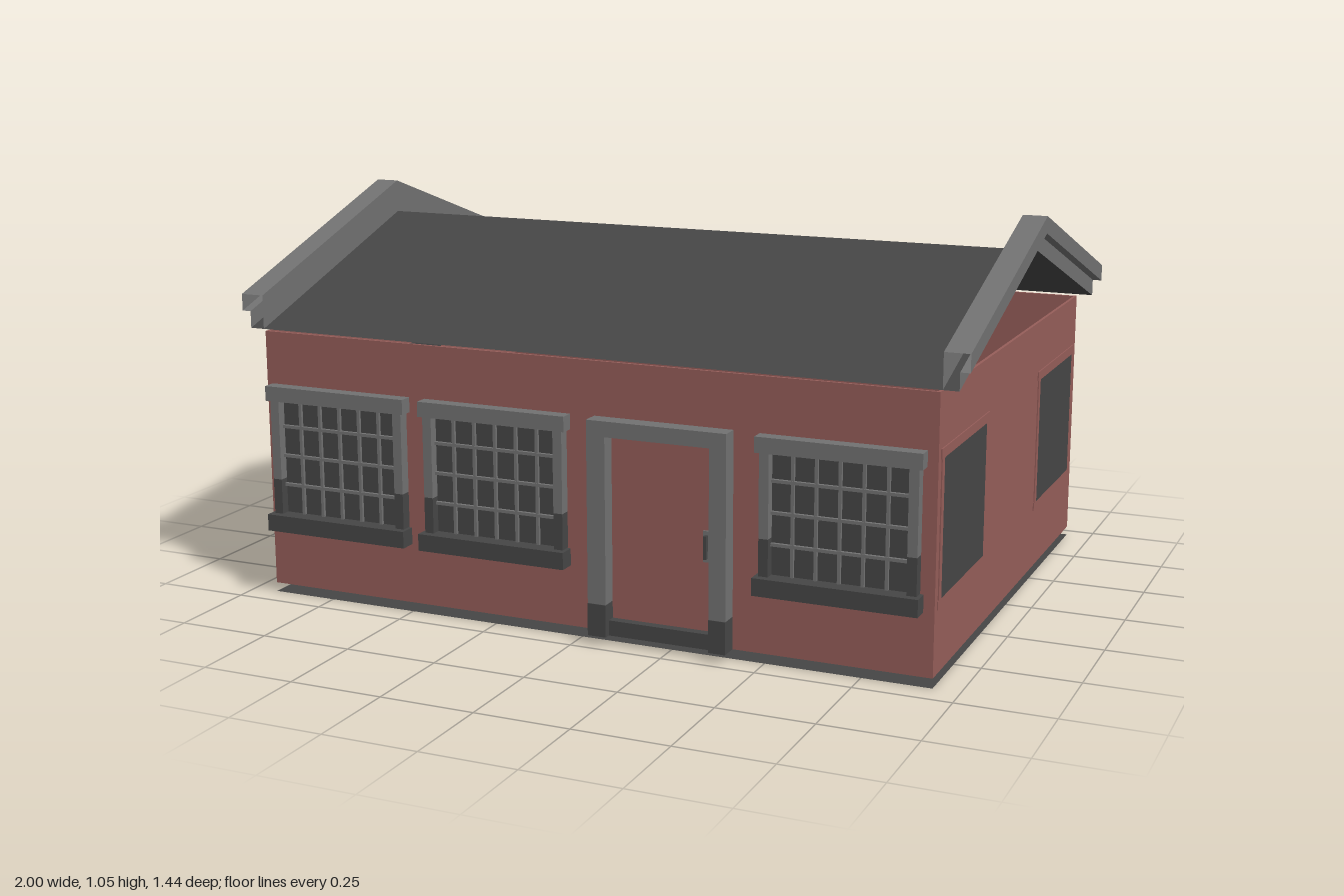
import * as THREE from 'three';

const brick = new THREE.MeshStandardMaterial({ color: 0x965e5a, side: THREE.DoubleSide });
brick.name = 'brick red';
const stone = new THREE.MeshStandardMaterial({ color: 0x727272, side: THREE.DoubleSide });
stone.name = 'stone grey';
const slate = new THREE.MeshStandardMaterial({ color: 0x464646, side: THREE.DoubleSide });
slate.name = 'dark slate';

const FRONT = 0.68, BACK = -0.71, SIDE = 0.93, RIDGE = -0.015;
const BASE = 0.025, TOP = 0.725;

// Box given by its minimum and maximum corners
function box(parent, name, mat, x0, x1, y0, y1, z0, z1) {
  const mesh = new THREE.Mesh(new THREE.BoxGeometry(x1 - x0, y1 - y0, z1 - z0), mat);
  mesh.position.set((x0 + x1) / 2, (y0 + y1) / 2, (z0 + z1) / 2);
  mesh.name = name;
  parent.add(mesh);
  return mesh;
}

// Sweep an open [x, y] section over the two roof slopes
function gableSweep(section, mat, name) {
  const stations = [[FRONT, 0.73], [RIDGE, 0.96], [BACK, 0.73]];
  const pos = [];
  const point = (s, p) => [p[0], s[1] + p[1], s[0]];
  for (let i = 0; i < 2; i++) {
    for (let j = 0; j < section.length - 1; j++) {
      const a = point(stations[i], section[j]), b = point(stations[i], section[j + 1]);
      const c = point(stations[i + 1], section[j + 1]), d = point(stations[i + 1], section[j]);
      pos.push(...a, ...b, ...c, ...a, ...c, ...d);
    }
  }
  const geo = new THREE.BufferGeometry();
  geo.setAttribute('position', new THREE.Float32BufferAttribute(pos, 3));
  geo.computeVertexNormals();
  const mesh = new THREE.Mesh(geo, mat);
  mesh.name = name;
  return mesh;
}

// Paned window with head, jambs and sill
function frontWindow(x) {
  const g = new THREE.Group();
  g.name = 'frontWindow';
  box(g, 'glass', slate, -0.18, 0.18, 0.23, 0.55, 0.682, 0.69);
  for (let i = -2; i <= 2; i++) {
    box(g, 'verticalBar', stone, i * 0.06 - 0.004, i * 0.06 + 0.004, 0.235, 0.545, 0.69, 0.698);
  }
  for (let i = -1; i <= 1; i++) {
    const y = 0.393 + i * 0.08;
    box(g, 'horizontalBar', stone, -0.175, 0.175, y - 0.004, y + 0.004, 0.69, 0.699);
  }
  for (const s of [-1, 1]) {
    const x0 = Math.min(s * 0.175, s * 0.2), x1 = Math.max(s * 0.175, s * 0.2);
    box(g, 'upperJamb', stone, x0, x1, 0.33, 0.545, 0.685, 0.715);
    box(g, 'lowerJamb', slate, x0, x1, 0.235, 0.33, 0.685, 0.715);
  }
  box(g, 'head', stone, -0.21, 0.21, 0.545, 0.585, 0.685, 0.722);
  box(g, 'sill', slate, -0.21, 0.21, 0.19, 0.235, 0.69, 0.735);
  g.position.x = x;
  return g;
}

// Flush window on a side wall, with a slim brick surround
function sideWindow(side, z) {
  const g = new THREE.Group();
  g.name = 'sideWindow';
  box(g, 'pane', slate, -0.185, 0.185, 0.213, 0.56, -0.012, 0.003);
  for (const s of [-1, 1]) {
    box(g, 'surround', brick, s * 0.195 - 0.01, s * 0.195 + 0.01, 0.213, 0.56, -0.002, 0.003);
  }
  box(g, 'surroundHead', brick, -0.21, 0.21, 0.56, 0.585, -0.002, 0.003);
  box(g, 'surroundSill', brick, -0.21, 0.21, 0.19, 0.213, -0.002, 0.003);
  g.rotation.y = side * Math.PI / 2;
  g.position.set(side * SIDE, 0, z);
  return g;
}

// Door leaf, stepped frame, threshold and handle
function door() {
  const g = new THREE.Group();
  g.name = 'door';
  box(g, 'doorLeaf', brick, 0.09, 0.37, 0.065, 0.545, 0.68, 0.686);
  for (const [x0, x1] of [[0.04, 0.09], [0.37, 0.415]]) {
    box(g, 'doorJamb', stone, x0, x1, 0.11, 0.545, 0.68, 0.727);
    box(g, 'jambFoot', slate, x0, x1, BASE, 0.11, 0.68, 0.729);
  }
  box(g, 'doorHead', stone, 0.04, 0.415, 0.545, 0.585, 0.68, 0.727);
  box(g, 'threshold', slate, 0.09, 0.37, BASE, 0.065, 0.68, 0.71);
  box(g, 'handlePlate', stone, 0.34, 0.358, 0.245, 0.325, 0.686, 0.692);
  box(g, 'handle', slate, 0.345, 0.353, 0.255, 0.315, 0.692, 0.704);
  return g;
}

export function createModel() {
  const house = new THREE.Group();
  house.name = 'house';

  // Floor sheet and four thin walls
  const floor = new THREE.Mesh(new THREE.PlaneGeometry(2 * SIDE, FRONT - BACK), slate);
  floor.name = 'floor';
  floor.rotation.x = Math.PI / 2;
  floor.position.z = (FRONT + BACK) / 2;
  house.add(floor);
  box(house, 'frontWall', brick, -SIDE, SIDE, BASE, TOP, FRONT - 0.008, FRONT);
  box(house, 'backWall', brick, -SIDE, SIDE, BASE, TOP, BACK, BACK + 0.008);
  box(house, 'leftWall', brick, SIDE - 0.008, SIDE, BASE, TOP, BACK + 0.008, FRONT - 0.008);
  box(house, 'rightWall', brick, -SIDE, -SIDE + 0.008, BASE, TOP, BACK + 0.008, FRONT - 0.008);

  // Roof sheet and stepped hollow copings over the open gables
  house.add(gableSweep([[-0.975, 0], [0.975, 0]], slate, 'roof'));
  const profile = [[0.975, 0], [0.975, 0.045], [1, 0.045], [1, 0.09], [0.935, 0.09], [0.935, 0]];
  house.add(gableSweep(profile, stone, 'leftCoping'));
  const mirrored = profile.map(([x, y]) => [-x, y]).reverse();
  house.add(gableSweep(mirrored, stone, 'rightCoping'));

  // Openings
  for (const x of [-0.7, -0.235, 0.695]) house.add(frontWindow(x));
  house.add(door());
  house.add(sideWindow(1, 0.452), sideWindow(1, -0.475), sideWindow(-1, -0.03));
  return house;
}
